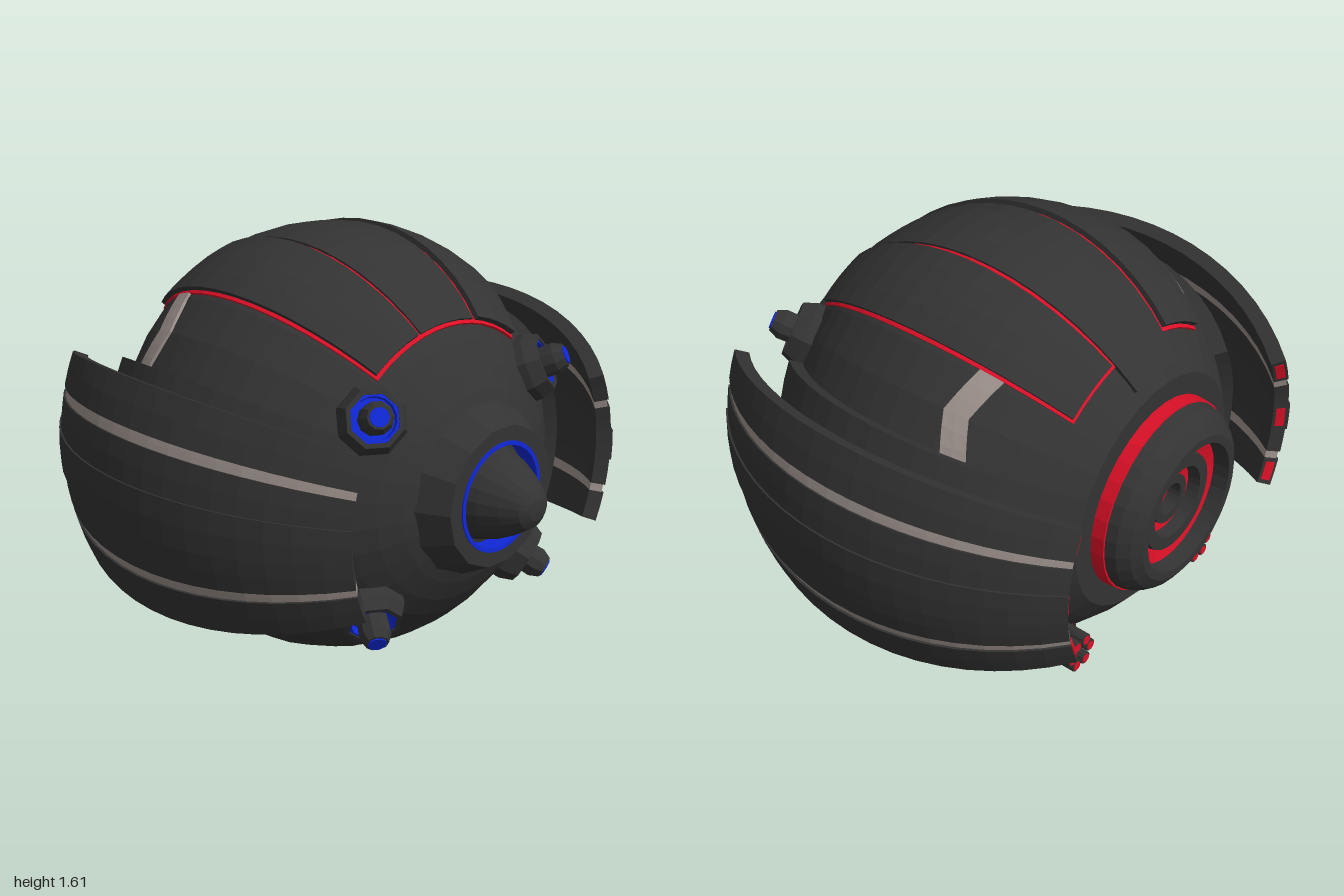
import * as THREE from 'three';

const CY = 0.8, CZ = -0.1; // centre of the hull
const rad = THREE.MathUtils.degToRad;
const mat = (color) => new THREE.MeshStandardMaterial({ color, flatShading: true, side: THREE.DoubleSide });

export function createModel() {
  const root = new THREE.Group();
  const dark = mat(0x333333), red = mat(0xd81026), blue = mat(0x1028d8), pale = mat(0x9a8f8a);

  function add(parent, name, geometry, material) {
    const mesh = new THREE.Mesh(geometry, material);
    mesh.name = name;
    parent.add(mesh);
    return mesh;
  }

  // Solid of revolution around the z axis; profile is [radius, z] from back to front
  function lathe(profile, sides) {
    const g = new THREE.LatheGeometry(profile.map(([r, z]) => new THREE.Vector2(r, z)), sides, Math.PI / sides);
    return g.rotateX(Math.PI / 2);
  }

  // Curved plate: a box bent around the hull. phi turns about z (0 = up, 90 = +x),
  // lat runs towards the front, off shifts the arc centre away from the z axis.
  function plate({ phi, lat, r, off = 0, nPhi = 4, nLat = 14, kink = 0 }) {
    const g = new THREE.BoxGeometry(1, 1, 1, nPhi, nLat, 1);
    const p = g.attributes.position;
    for (let i = 0; i < p.count; i++) {
      const u = p.getX(i) + 0.5;
      const a = rad(THREE.MathUtils.lerp(phi[1], phi[0], u));
      const bend = kink * (1 - Math.abs(2 * u - 1));
      const b = rad(THREE.MathUtils.lerp(lat[0], lat[1], p.getY(i) + 0.5) + bend);
      const R = THREE.MathUtils.lerp(r[0], r[1], p.getZ(i) + 0.5);
      const rho = off + R * Math.cos(b);
      p.setXYZ(i, rho * Math.sin(a), CY + rho * Math.cos(a), CZ + R * Math.sin(b));
    }
    g.computeVertexNormals();
    return g;
  }

  // Hull: sphere cut flat at the back
  const hull = [[0, -0.66]];
  for (let i = 0; i <= 22; i++) {
    const b = THREE.MathUtils.lerp(-Math.asin(0.66 / 0.8), Math.PI / 2, i / 22);
    hull.push([0.8 * Math.cos(b), 0.8 * Math.sin(b)]);
  }
  add(root, 'hull', lathe(hull, 32), dark).position.set(0, CY, CZ);

  // Roof panels over a red underlay
  add(root, 'roofUnderlay', plate({ phi: [-38, 38], lat: [-44, 46], r: [0.74, 0.807], nPhi: 12 }), red);
  add(root, 'roofCentrePanel', plate({ phi: [-13.2, 13.2], lat: [-52, 45], r: [0.74, 0.815] }), dark);
  for (const s of [-1, 1]) {
    const span = s > 0 ? [15, 37] : [-37, -15];
    add(root, 'roofSidePanel', plate({ phi: span, lat: [-43, 45], r: [0.75, 0.826] }), dark);
  }

  // Side armour: inner shell, outer striped wing and a bent pale stripe on the hull
  const strips = [
    { name: 'wingEdgeStrip', from: 16, to: 25.5, r: [1.1, 1.155], m: dark, cap: true },
    { name: 'wingPaleStrip', from: 13.5, to: 16, r: [1.1, 1.147], m: pale },
    { name: 'wingMiddleStrip', from: 5, to: 13.5, r: [1.1, 1.155], m: dark },
    { name: 'wingCentreStrip', from: -5, to: 5, r: [1.1, 1.162], m: dark, cap: true },
  ];
  for (const s of [-1, 1]) {
    const mid = s * 90;
    const wing = new THREE.Group();
    wing.name = s > 0 ? 'leftWing' : 'rightWing';
    root.add(wing);
    add(wing, 'innerShell', plate({ phi: [mid - 29, mid + 29], lat: [-45, 44], r: [0.77, 0.85], nPhi: 8 }), dark);
    for (const { name, from, to, r, m, cap } of strips) {
      for (const v of from < 0 ? [1] : [1, -1]) {
        const a = mid + v * from, b = mid + v * to;
        const phi = [Math.min(a, b), Math.max(a, b)];
        add(wing, name, plate({ phi, lat: [-43.6, 43.6], r, off: -0.16, nPhi: 2, nLat: 18 }), m);
        // Red light set in the back end of the strip
        if (cap) {
          add(wing, 'wingTailLight', plate({
            phi: [phi[0] + 1.5, phi[1] - 1.5], lat: [-43.8, -43], r: [1.11, 1.145], off: -0.16, nPhi: 2, nLat: 1,
          }), red);
        }
      }
    }
    const stripe = s > 0 ? [38, 63] : [-63, -38];
    add(root, 'hullStripe', plate({ phi: stripe, lat: [-25, -18.5], r: [0.77, 0.808], nPhi: 6, nLat: 2, kink: 3.5 }), pale);
  }

  // Nose: collar, blue ring and blunt cone
  const nose = new THREE.Group();
  nose.name = 'nose';
  nose.position.y = CY;
  root.add(nose);
  add(nose, 'noseCollar', lathe([[0.33, 0.52], [0.33, 0.61], [0.26, 0.745], [0.2, 0.745], [0.2, 0.64]], 14), dark);
  add(nose, 'noseLightRing', lathe([[0.203, 0.64], [0.203, 0.75], [0.188, 0.75], [0.188, 0.66], [0, 0.66]], 32), blue);
  add(nose, 'noseCone', lathe([[0.18, 0.64], [0.17, 0.7], [0.15, 0.76], [0.115, 0.83], [0.075, 0.89], [0.04, 0.91], [0, 0.915]], 20), dark);

  // Four lamp pods pointing out from the hull centre
  for (const s of [-1, 1]) {
    for (const [x, y, z] of [[0.45, 0.36, 0.68], [0.43, -0.45, 0.66]]) {
      const pod = new THREE.Group();
      pod.name = 'lampPod';
      pod.position.set(0, CY, CZ);
      pod.lookAt(s * x, CY + y, CZ + z);
      root.add(pod);
      add(pod, 'podHousing', lathe([[0.125, 0.7], [0.125, 0.82], [0.105, 0.87], [0.088, 0.87], [0.088, 0.82]], 8), dark);
      add(pod, 'podLight', lathe([[0.09, 0.8], [0.088, 0.865], [0.076, 0.865], [0.074, 0.835], [0, 0.835]], 16), blue);
      add(pod, 'podKnob', lathe([[0.055, 0.8], [0.058, 0.91], [0.042, 0.945], [0, 0.945]], 10), dark);
      add(pod, 'podLens', lathe([[0.034, 0.94], [0.034, 0.95], [0, 0.95]], 10), blue);
    }
  }

  // Thruster at the back: stepped bowl with glowing red rings
  const thruster = new THREE.Group();
  thruster.name = 'thruster';
  thruster.position.y = CY;
  root.add(thruster);
  add(thruster, 'thrusterBand', lathe([[0.33, -0.815], [0.367, -0.81], [0.372, -0.74]], 32), red);
  add(thruster, 'thrusterRim', lathe([
    [0.24, -0.84], [0.25, -0.915], [0.28, -0.915], [0.32, -0.89], [0.35, -0.85], [0.362, -0.805],
  ], 32), dark);
  add(thruster, 'outerGlowRing', lathe([[0.19, -0.84], [0.245, -0.855]], 32), red);
  add(thruster, 'middleRing', lathe([[0.13, -0.8], [0.14, -0.865], [0.185, -0.865], [0.2, -0.8]], 32), dark);
  add(thruster, 'innerGlowRing', lathe([[0.095, -0.81], [0.14, -0.82]], 24), red);
  add(thruster, 'coreRing', lathe([[0.06, -0.77], [0.062, -0.835], [0.095, -0.835], [0.1, -0.77]], 24), dark);
  add(thruster, 'core', lathe([[0, -0.785], [0.065, -0.785]], 20), red);

  // Two guns under the back, each with a ring of barrels
  for (const s of [-1, 1]) {
    const gun = new THREE.Group();
    gun.name = s > 0 ? 'leftGun' : 'rightGun';
    gun.position.set(s * 0.38, 0.28, 0);
    root.add(gun);
    add(gun, 'gunHousing', lathe([[0.088, -0.63], [0.09, -0.65], [0.1, -0.65], [0.1, -0.3], [0, -0.25]], 20), dark);
    add(gun, 'gunGlow', lathe([[0, -0.645], [0.09, -0.645]], 20), red);
    add(gun, 'gunHub', lathe([[0, -0.66], [0.07, -0.66], [0.07, -0.63]], 16), dark);
    for (let i = 0; i < 6; i++) {
      const a = (i / 6) * Math.PI * 2;
      const x = 0.052 * Math.cos(a), y = 0.052 * Math.sin(a);
      add(gun, 'gunBarrel', lathe([[0, -0.75], [0.024, -0.75], [0.024, -0.64]], 10), dark).position.set(x, y, 0);
      add(gun, 'barrelTip', lathe([[0, -0.753], [0.018, -0.753], [0.018, -0.745]], 10), red).position.set(x, y, 0);
    }
  }

  return root;
}
